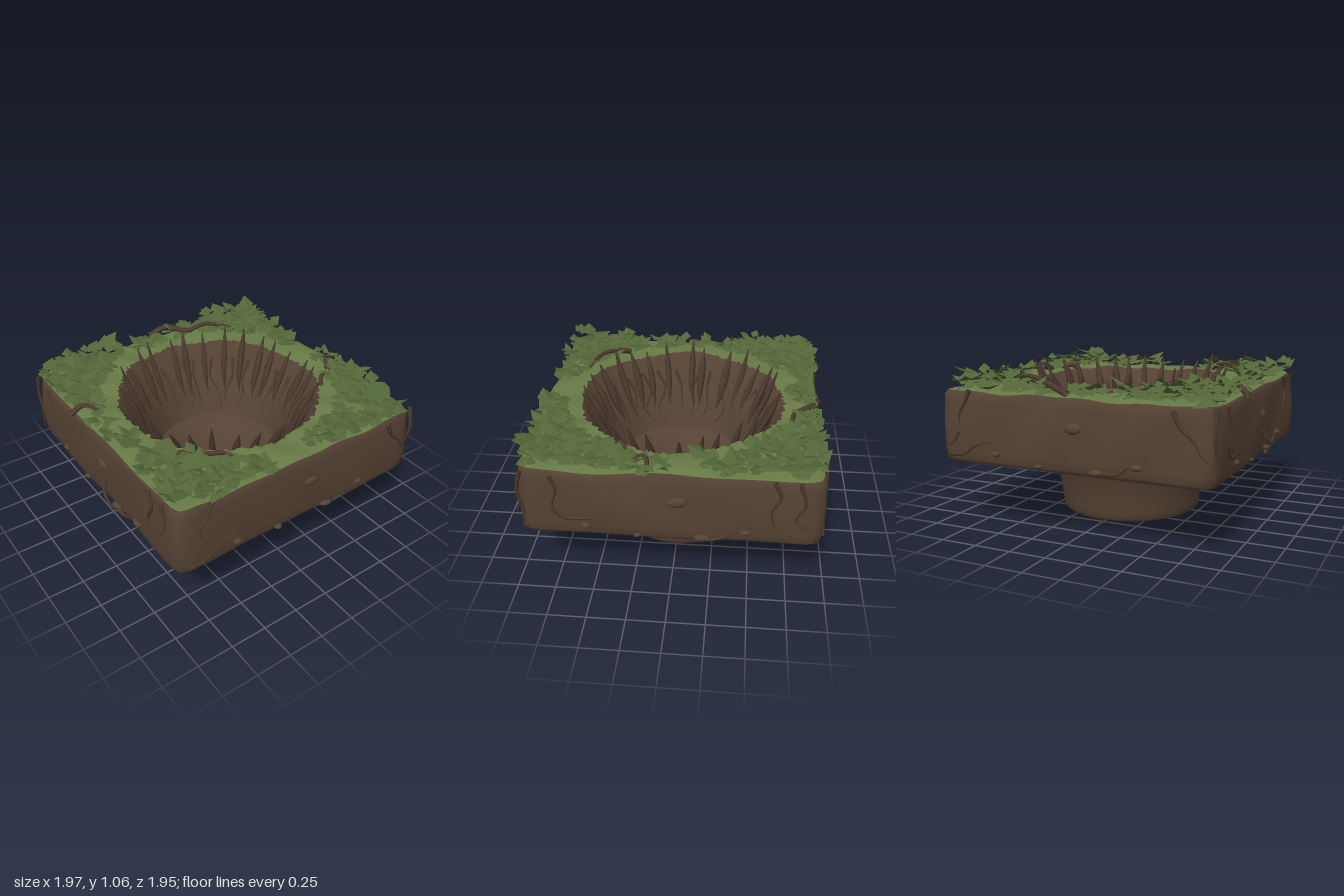
import * as THREE from 'three';
import { mergeGeometries } from 'three/addons/utils/BufferGeometryUtils.js';

const CX = 0.02; // centre of the block and pit
const HALF = 0.945; // half width of the block

let seed = 7;
const rnd = () => {
  seed = (seed * 16807) % 2147483647;
  return seed / 2147483647;
};
const range = (a, b) => a + (b - a) * rnd();
const wobble = (x, y, z) =>
  Math.sin(5 * x + 3 * y + 1) * Math.cos(4 * z - 2 * y) + 0.6 * Math.sin(11 * x - 7 * z + 9 * y);

// Surface lofted through rings [size, y, squareness, wobble in plan, wobble in height, raggedness]
function loft(rings, n = 160) {
  const pos = [], index = [];
  for (const [size, y, square = 0, side = 0, lift = 0, ragged = 0] of rings) {
    for (let i = 0; i < n; i++) {
      const a = (i / n) * Math.PI * 2, c = Math.cos(a), s = Math.sin(a);
      const box = 1 / Math.pow(Math.abs(c) ** 30 + Math.abs(s) ** 30, 1 / 30);
      let r = size * (1 + (box - 1) * square);
      r += side * wobble(c * r, y, s * r) + ragged * Math.sin(i * 2.3) * Math.sin(i * 0.37 + Math.sin(i));
      if (size < 0.001) r = 0.0005;
      pos.push(CX + c * r, y + lift * wobble(c * r * 1.5, 0, s * r * 1.5), s * r);
    }
  }
  for (let k = 0; k < rings.length - 1; k++) {
    for (let i = 0; i < n; i++) {
      const a = k * n + i, b = k * n + ((i + 1) % n), c = a + n, d = b + n;
      index.push(a, b, c, b, d, c);
    }
  }
  const g = new THREE.BufferGeometry();
  g.setAttribute('position', new THREE.Float32BufferAttribute(pos, 3));
  g.setIndex(index);
  g.computeVertexNormals();
  return g;
}

// Tube along points whose thickness follows taper(t)
function root(points, radius, taper = (t) => 1 - 0.85 * t, segs = 12) {
  const curve = new THREE.CatmullRomCurve3(points.map((p) => new THREE.Vector3(...p)));
  const g = new THREE.TubeGeometry(curve, segs, radius, 6);
  const p = g.attributes.position, v = new THREE.Vector3();
  for (let i = 0; i < p.count; i++) {
    const t = Math.floor(i / 7) / segs, c = curve.getPointAt(t);
    v.fromBufferAttribute(p, i).sub(c).multiplyScalar(taper(t)).add(c);
    p.setXYZ(i, v.x, v.y, v.z);
  }
  g.computeVertexNormals();
  return g;
}

// Place side detail (u to the right, v up) on face k: front, right, back, left
function onFace(k, u, v, out = 0) {
  const a = (k * Math.PI) / 2, d = HALF + out;
  return [CX + u * Math.cos(a) + d * Math.sin(a), v, -u * Math.sin(a) + d * Math.cos(a)];
}

// Folded four-cornered leaves in one geometry
function leaves(clusters) {
  const pos = [];
  const m = new THREE.Matrix4(), e = new THREE.Euler();
  for (const [x, y, z, count, size] of clusters) {
    for (let i = 0; i < count; i++) {
      const l = size * range(0.7, 1.25), w = l * range(0.34, 0.48), fold = l * range(0.08, 0.2);
      const yaw = ((i + rnd()) / count) * Math.PI * 2;
      m.makeRotationFromEuler(e.set(range(-0.6, 0.3), yaw, range(-0.3, 0.3), 'YXZ'));
      m.setPosition(x + range(-0.03, 0.03), y + range(-0.01, 0.03), z + range(-0.03, 0.03));
      const [base, left, right, tip] = [
        [0, 0, 0], [-w, -fold, l * 0.5], [w, -fold, l * 0.5], [0, -fold * 0.5, l],
      ].map((p) => {
        const q = new THREE.Vector3(...p).applyMatrix4(m);
        // pull overhanging corners back towards the block edge
        q.x = CX + Math.sign(q.x - CX) * Math.min(Math.abs(q.x - CX), 0.93 + 0.2 * Math.max(0, q.y - 0.86));
        q.z = Math.sign(q.z) * Math.min(Math.abs(q.z), 0.94 + 0.2 * Math.max(0, q.y - 0.86));
        q.y = Math.max(q.y, 0.88);
        return q.toArray();
      });
      pos.push(...base, ...tip, ...right, ...base, ...left, ...tip);
    }
  }
  const g = new THREE.BufferGeometry();
  g.setAttribute('position', new THREE.Float32BufferAttribute(pos, 3));
  g.computeVertexNormals();
  return g;
}

export function createModel() {
  seed = 7;
  const group = new THREE.Group();
  const mat = (name, color) => Object.assign(new THREE.MeshStandardMaterial({ color }), { name });
  const soil = mat('soil brown', 0x554234);
  const bark = mat('root brown', 0x4b392e);
  const grass = mat('grass green', 0x667a45);
  const leaf = mat('leaf green', 0x536638);
  leaf.flatShading = true;
  leaf.side = THREE.DoubleSide;
  bark.side = THREE.DoubleSide;
  const add = (name, geometry, material) => {
    const mesh = new THREE.Mesh(geometry, material);
    mesh.name = name;
    group.add(mesh);
    return mesh;
  };

  // Pit, from the centre outwards
  const rim = [0.7, 0.915, 0, 0.013, 0.012, 0.018];
  add('pitFloor', loft([[0, 0.02], [0.13, 0.02]]), soil);
  add('pitFunnel', loft([[0.13, 0.02], [0.145, 0.07], [0.18, 0.15], [0.23, 0.24], [0.29, 0.32], [0.36, 0.38], [0.435, 0.42]]), soil);
  add('pitWall', loft([[0.435, 0.42], [0.455, 0.46, 0, 0.006], [0.5, 0.57, 0, 0.012], [0.56, 0.71, 0, 0.015],
    [0.63, 0.83, 0, 0.015], rim]), soil);

  // Turf, then the block and its foot
  const edge = [0.925, 0.902, 1, 0.008, 0.008];
  add('turf', loft([rim, [0.76, 0.918, 0.25, 0, 0.014], [0.84, 0.918, 0.7, 0, 0.014], [0.9, 0.912, 1, 0, 0.012], edge]), grass);
  const sides = [];
  for (let i = 0; i <= 8; i++) sides.push([HALF - 0.004 + 0.01 * Math.sin(i * 0.39), 0.88 - i * 0.053, 1, 0.01]);
  add('block', loft([edge, ...sides, [0.925, 0.43, 1, 0.007], [0.9, 0.42, 1], [0.75, 0.42, 0.6], [0.6, 0.42],
    [0.575, 0.4], [0.54, 0.29], [0.51, 0.18], [0.495, 0.06], [0.49, 0.02], [0.47, 0.002], [0.3, 0.002], [0, 0]]), soil);

  // Upright root spikes and fine roots lining the pit
  const spikes = [], fine = [];
  const polar = (a, r, y) => [CX + Math.cos(a) * r, y, Math.sin(a) * r];
  const spindle = (t) => 0.12 + 0.88 * Math.sin(Math.PI * Math.min(1, t * 0.98)) ** 1.2;
  for (let i = 0; i < 28; i++) {
    const a = ((i + range(-0.25, 0.25)) / 28) * Math.PI * 2, b = a + range(-0.06, 0.06);
    const top = range(0.95, 1.07);
    spikes.push(root([polar(b, 0.5, 0.58), polar(a, 0.555, 0.73), polar(a, 0.615, 0.87), polar(a, 0.68, top)], range(0.022, 0.032), spindle));
    const c = a + 0.1;
    fine.push(root([polar(c, 0.62, 0.82), polar(c + range(-0.08, 0.08), 0.555, 0.7),
      polar(c + range(-0.1, 0.1), 0.5, 0.57), polar(c + range(-0.15, 0.15), 0.455, 0.45)], 0.012));
  }
  add('pitSpikes', mergeGeometries(spikes), bark);
  add('pitFineRoots', mergeGeometries(fine), bark);

  // Roots creeping over the block sides
  const frontRoots = [
    [[-0.71, 0.91], [-0.74, 0.84], [-0.79, 0.75], [-0.79, 0.64], [-0.83, 0.55]],
    [[-0.8, 0.64], [-0.84, 0.57], [-0.9, 0.54]],
    [[0.7, 0.88], [0.74, 0.79], [0.83, 0.71], [0.88, 0.62], [0.94, 0.59]],
    [[-0.87, 0.48], [-0.77, 0.49], [-0.66, 0.56], [-0.53, 0.59]],
    [[0.26, 0.46], [0.35, 0.47], [0.42, 0.52], [0.5, 0.53]],
  ];
  const rightRoots = [
    [[-0.72, 0.88], [-0.69, 0.78], [-0.72, 0.65], [-0.66, 0.56]],
    [[-0.72, 0.64], [-0.65, 0.57], [-0.47, 0.56], [-0.39, 0.49]],
    [[0.63, 0.9], [0.67, 0.8], [0.62, 0.68], [0.66, 0.54]],
    [[0.78, 0.9], [0.82, 0.75], [0.77, 0.64], [0.85, 0.56]],
    [[0.16, 0.44], [0.3, 0.46], [0.4, 0.51], [0.5, 0.55]],
    [[-0.9, 0.9], [-0.93, 0.75], [-0.9, 0.6], [-0.92, 0.46]],
  ];
  const sideRoots = [];
  for (let k = 0; k < 4; k++) {
    for (const path of k % 2 ? rightRoots : frontRoots) {
      sideRoots.push(root(path.map(([u, v]) => onFace(k, u, v, 0.003)), 0.016, (t) => 1 - 0.8 * t, 20));
    }
  }
  sideRoots.push(root([onFace(3, 0.06, 0.62), onFace(3, 0.1, 0.53, 0.035), onFace(3, 0.2, 0.49, 0.04), onFace(3, 0.32, 0.5, 0)], 0.016));
  add('sideRoots', mergeGeometries(sideRoots), bark);

  // Vines lying on the turf
  const vines = [
    [[0.02, 0.93, -0.93], [0.16, 0.98, -0.9], [0.26, 0.97, -0.77], [0.4, 1.0, -0.74], [0.54, 0.97, -0.68], [0.66, 0.93, -0.58]],
    [[-0.65, 0.93, 0.46], [-0.58, 0.97, 0.54], [-0.5, 0.98, 0.63], [-0.4, 0.97, 0.68], [-0.34, 0.92, 0.73]],
    [[0.82, 0.92, 0.24], [0.86, 0.97, 0.15], [0.95, 0.92, 0.13]],
    [[0.64, 0.9, 0.37], [0.68, 0.95, 0.32], [0.75, 0.93, 0.28]],
    [[-0.94, 0.9, -0.34], [-0.86, 0.96, -0.3], [-0.78, 0.93, -0.2]],
  ];
  add('turfVines', mergeGeometries(vines.map((p) => root(p, 0.022, (t) => 1 - 0.5 * t, 24))), bark);

  // Pebbles set into the sides
  const pebbles = [[0.05, 0.72, 0.06, 0.036], [0.47, 0.52, 0.04, 0.02], [0.2, 0.46, 0.05, 0.02],
    [-0.2, 0.46, 0.025, 0.014], [-0.52, 0.51, 0.03, 0.02]];
  for (let k = 0; k < 4; k++) {
    for (const [u, v, w, h] of pebbles) {
      const p = add('pebble', new THREE.IcosahedronGeometry(1, 2), soil);
      p.position.set(...onFace(k, u, v));
      p.scale.set(w, h, 0.025);
      p.rotation.set(0, (k * Math.PI) / 2, range(-0.2, 0.2), 'YXZ');
    }
  }

  // Leaf tufts: mounded and thick in the corners, thinner along the edges
  const clusters = [];
  for (let tries = 0; tries < 1500 && clusters.length < 95; tries++) {
    const x = range(-0.87, 0.91), z = range(-0.89, 0.89), r = Math.hypot(x - CX, z);
    const corner = Math.min(Math.abs(x - CX), Math.abs(z)) / 0.9;
    if (r < 0.83 || rnd() > 0.12 + corner * 1.3) continue;
    if (clusters.some((c) => Math.hypot(c[0] - x, c[2] - z) < 0.085)) continue;
    clusters.push([x, 0.93 + 0.07 * corner * rnd(), z, 10, range(0.09, 0.12 + 0.045 * corner)]);
  }
  add('leafTufts', leaves(clusters), leaf);
  return group;
}
